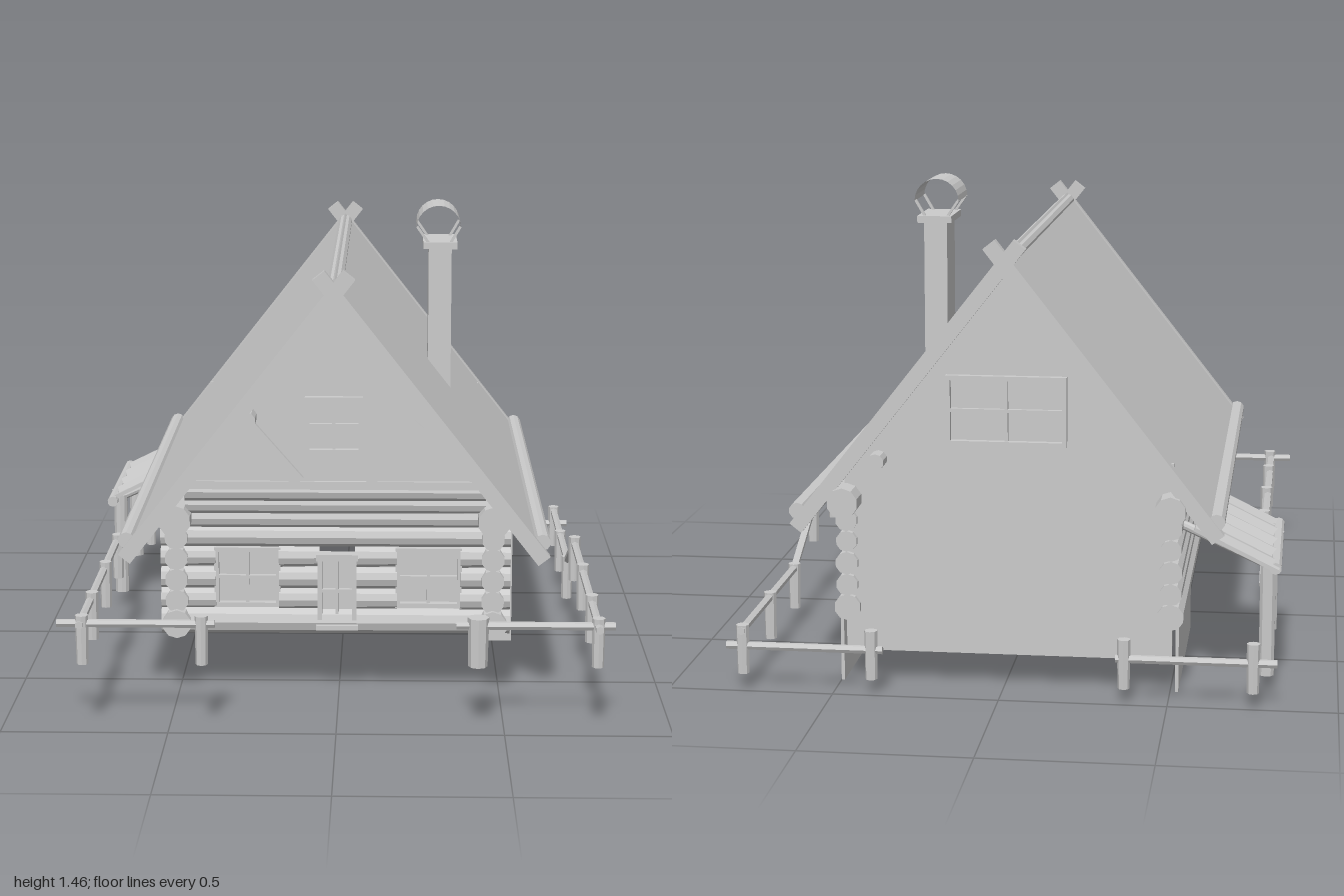
import * as THREE from 'three';

const mat = new THREE.MeshStandardMaterial({ color: 0xcccccc, flatShading: true, side: THREE.DoubleSide });
const CX = -0.01; // ridge line

function add(parent, name, geo, x = 0, y = 0, z = 0) {
  const m = new THREE.Mesh(geo, mat);
  m.name = name;
  m.position.set(x, y, z);
  parent.add(m);
  return m;
}

const box = (p, name, x0, x1, y0, y1, z0, z1) =>
  add(p, name, new THREE.BoxGeometry(x1 - x0, y1 - y0, z1 - z0), (x0 + x1) / 2, (y0 + y1) / 2, (z0 + z1) / 2);

// Round timber between two points
function log(p, name, a, b, r0, r1 = r0, sides = 10) {
  const A = new THREE.Vector3(...a), B = new THREE.Vector3(...b);
  const m = add(p, name, new THREE.CylinderGeometry(r1, r0, A.distanceTo(B), sides));
  m.position.copy(A).add(B).multiplyScalar(0.5);
  m.quaternion.setFromUnitVectors(new THREE.Vector3(0, 1, 0), B.sub(A).normalize());
  return m;
}

// Flat board in the xy plane between two points
function board(p, name, x0, y0, x1, y1, width, z0, z1) {
  const m = box(p, name, 0, Math.hypot(x1 - x0, y1 - y0), 0, width, z0, z1);
  m.position.set((x0 + x1) / 2, (y0 + y1) / 2, (z0 + z1) / 2);
  m.rotation.z = Math.atan2(y1 - y0, x1 - x0);
  return m;
}

function extrude(p, name, points, z0, z1) {
  const shape = new THREE.Shape(points.map(q => new THREE.Vector2(...q)));
  return add(p, name, new THREE.ExtrudeGeometry(shape, { depth: z1 - z0, bevelEnabled: false }), 0, 0, z0);
}

// Framed opening with crossing bars, facing +z
function window_(p, name, w, h, x, y, z, turn = 0) {
  const g = new THREE.Group();
  g.name = name;
  g.position.set(x, y, z);
  g.rotation.y = turn;
  p.add(g);
  const t = 0.014;
  for (const s of [-1, 1]) {
    box(g, 'frameSide', s * (w - t) / 2 - t / 2, s * (w - t) / 2 + t / 2, -h / 2, h / 2, -0.02, 0.015);
    box(g, 'frameRail', -w / 2, w / 2, s * (h - t) / 2 - t / 2, s * (h - t) / 2 + t / 2, -0.02, 0.015);
  }
  box(g, 'verticalBar', -0.005, 0.005, -h / 2, h / 2, -0.012, 0.008);
  box(g, 'crossBar', -w / 2, w / 2, -0.005, 0.005, -0.012, 0.008);
  box(g, 'pane', -w / 2, w / 2, -h / 2, h / 2, -0.014, -0.008);
  return g;
}

function buildWalls(house) {
  const rows = [0.235, 0.305, 0.372, 0.44, 0.505];
  rows.forEach((y, i) => {
    const r = i ? 0.036 : 0.045, r2 = r * (0.9 + 0.04 * (i % 3));
    const cut = i > 0 && i < 4;
    // Front logs, interrupted by the windows and door
    const spans = cut ? [[-0.55, -0.38], [-0.185, -0.06], [0.05, 0.18], [0.375, 0.53]] : [[-0.55, 0.53]];
    for (const [a, b] of spans) log(house, 'frontLog', [a, y, 0.605], [b, y, 0.605], r, r2);
    // Side logs
    const front = i ? 0.655 : 0.67;
    log(house, 'leftLog', [-0.5, y, front], [-0.5, y, -0.88], r, r2);
    const right = cut ? [[front, -0.475], [-0.675, -0.88]] : [[front, -0.88]];
    for (const [a, b] of right) log(house, 'rightLog', [0.475, y, a], [0.475, y, b], r, r2);
  });
  for (const x of [-0.5, 0.475]) log(house, 'wallPlate', [x, 0.57, 0.7], [x, 0.57, -0.94], 0.05, 0.047);
  // Stepped logs below the front gable
  [0.565, 0.615, 0.66].forEach((y, i) =>
    log(house, 'upperFrontLog', [-0.47, y, 0.61 + i * 0.022], [0.45, y, 0.61 + i * 0.022], 0.034, 0.031));
  box(house, 'gableSill', -0.46, 0.44, 0.675, 0.7, 0.62, 0.71);
  // Back wall and side footings
  box(house, 'backWall', -0.505, 0.48, 0.1, 0.7, -0.865, -0.85);
  box(house, 'leftFooting', -0.525, -0.515, 0, 0.2, -0.86, -0.19);
  box(house, 'rightFooting', 0.49, 0.5, 0, 0.2, -0.86, -0.18);

  for (const x of [-0.2825, 0.2775]) window_(house, 'frontWindow', 0.205, 0.19, x, 0.375, 0.615);
  window_(house, 'sideWindow', 0.21, 0.21, 0.485, 0.385, -0.575, Math.PI / 2);
  const door = window_(house, 'door', 0.12, 0.23, -0.005, 0.335, 0.63);
  box(door, 'lintel', -0.065, 0.065, 0.1, 0.12, -0.02, 0.025);
  box(door, 'threshold', -0.065, 0.065, -0.12, -0.105, -0.03, 0.03);
}

function buildRoof(house) {
  extrude(house, 'roof', [[CX, 1.32], [CX - 0.62, 0.53], [CX - 0.59, 0.505], [CX, 1.265],
    [CX + 0.59, 0.505], [CX + 0.62, 0.53]], -0.91, 0.815);
  for (const s of [-1, 1]) {
    log(house, 'eaveLog', [CX + s * 0.625, 0.54, 0.81], [CX + s * 0.625, 0.54, -0.92], 0.025);
    for (const z of [-0.925, 0.805])
      board(house, 'bargeBoard', CX + s * 0.63, 0.488, CX - s * 0.045, 1.348, 0.045, z, z + 0.03);
  }
  log(house, 'ridgeLog', [CX, 1.29, 0.81], [CX, 1.29, -0.9], 0.025);
  // Gables
  const tri = [[CX - 0.46, 0.69], [CX + 0.46, 0.69], [CX, 1.275]];
  extrude(house, 'frontGable', tri, 0.685, 0.7);
  extrude(house, 'backGable', tri, -0.87, -0.855);
  window_(house, 'frontGableWindow', 0.175, 0.175, -0.0125, 0.875, 0.705);
  window_(house, 'backGableWindow', 0.36, 0.21, -0.01, 0.85, -0.875, Math.PI);
  board(house, 'gableBrace', -0.28, 0.885, -0.12, 0.7, 0.04, 0.7, 0.72);
  board(house, 'gableBrace', 0.245, 0.88, 0.09, 0.7, 0.04, 0.7, 0.72);
  log(house, 'purlinEnd', [-0.275, 0.9, 0.78], [-0.275, 0.9, 0.66], 0.03);
  log(house, 'backPurlinEnd', [0.375, 0.695, -0.84], [0.375, 0.695, -0.93], 0.026);
}

function buildChimney(house) {
  // Hearth base on the right wall: profile in z and y, extruded along x
  const base = extrude(house, 'chimneyBase', [[-0.07, 0], [0.19, 0], [0.19, 0.46], [0.14, 0.52],
    [-0.03, 0.52], [-0.07, 0.46]], 0, 0.14);
  base.rotation.y = Math.PI / 2;
  base.position.set(0.425, 0, 0);
  box(house, 'chimneyStack', 0.28, 0.355, 0.8, 1.33, -0.14, 0.02);
  box(house, 'chimneyRim', 0.262, 0.373, 1.318, 1.34, -0.165, 0.045);
  // Curved rain hood on slanted stays
  const hood = add(house, 'chimneyHood',
    new THREE.CylinderGeometry(0.072, 0.072, 0.19, 12, 1, true, -Math.PI / 2, Math.PI), 0.312, 1.387, -0.055);
  hood.rotation.x = -Math.PI / 2;
  for (const z of [-0.14, 0.03]) for (const s of [-1, 1])
    board(house, 'hoodStay', 0.315 + s * 0.035, 1.335, 0.312 + s * 0.07, 1.39, 0.008, z - 0.005, z + 0.005);
}

function buildLeanTo(house) {
  // Uneven plank roof
  const geo = new THREE.BoxGeometry(0.27, 0.012, 0.56, 1, 1, 9);
  const pos = geo.attributes.position;
  for (let i = 0; i < pos.count; i++) {
    const x = pos.getX(i), z = pos.getZ(i);
    pos.setY(i, pos.getY(i) + 0.007 * Math.sin(z * 47));
    if (x < 0) pos.setX(i, x + 0.012 * Math.sin(z * 31));
  }
  add(house, 'leanToRoof', geo, -0.69, 0.447, -0.58).rotation.z = Math.atan2(0.13, 0.265);
  log(house, 'leanToBeam', [-0.808, 0.385, -0.28], [-0.808, 0.385, -0.84], 0.018);
  for (const z of [-0.33, -0.81]) {
    log(house, 'leanToPost', [-0.785, 0.05, z], [-0.785, 0.4, z], 0.024);
    log(house, 'leanToRafter', [-0.82, 0.375, z], [-0.53, 0.505, z], 0.014);
  }
}

function buildFence(root) {
  const fence = new THREE.Group();
  fence.name = 'fence';
  root.add(fence);
  const post = (x, z, top, r = 0.02) => log(fence, 'fencePost', [x, top - 0.15, z], [x, top, z], r * 0.9, r, 8);
  const rail = (...pts) => {
    for (let i = 1; i < pts.length; i++) log(fence, 'fenceRail', pts[i - 1], pts[i], 0.0125, 0.0125, 6);
  };
  // Long sides step down the slope toward the back
  for (const z of [0.955, 0.71, 0.365, 0.025]) { post(0.775, z, 0.35); post(-0.755, z, 0.35); }
  for (const z of [-0.275, -0.62, -0.978]) post(0.775, z, 0.2);
  rail([0.775, 0.325, 1], [0.775, 0.325, 0.025], [0.775, 0.185, -0.275], [0.775, 0.185, -1]);
  rail([-0.76, 0.325, 0.98], [-0.76, 0.325, 0.025], [-0.76, 0.185, -0.3]);
  // Front pieces either side of the gateway
  rail([-0.83, 0.325, 0.955], [-0.36, 0.325, 0.955]);
  rail([0.355, 0.325, 0.955], [0.825, 0.325, 0.955]);
  post(-0.4, 0.955, 0.35);
  post(0.42, 0.955, 0.35, 0.032);
  // Back pieces
  rail([-0.82, 0.135, -0.978], [-0.345, 0.135, -0.978]);
  rail([0.35, 0.135, -0.978], [0.825, 0.135, -0.978]);
  for (const x of [-0.75, -0.37, 0.385]) post(x, -0.978, 0.195);
}

export function createModel() {
  const root = new THREE.Group();
  root.name = 'logCabin';
  const house = new THREE.Group();
  house.name = 'house';
  root.add(house);
  buildWalls(house);
  buildRoof(house);
  buildChimney(house);
  buildLeanTo(house);
  buildFence(root);
  return root;
}
